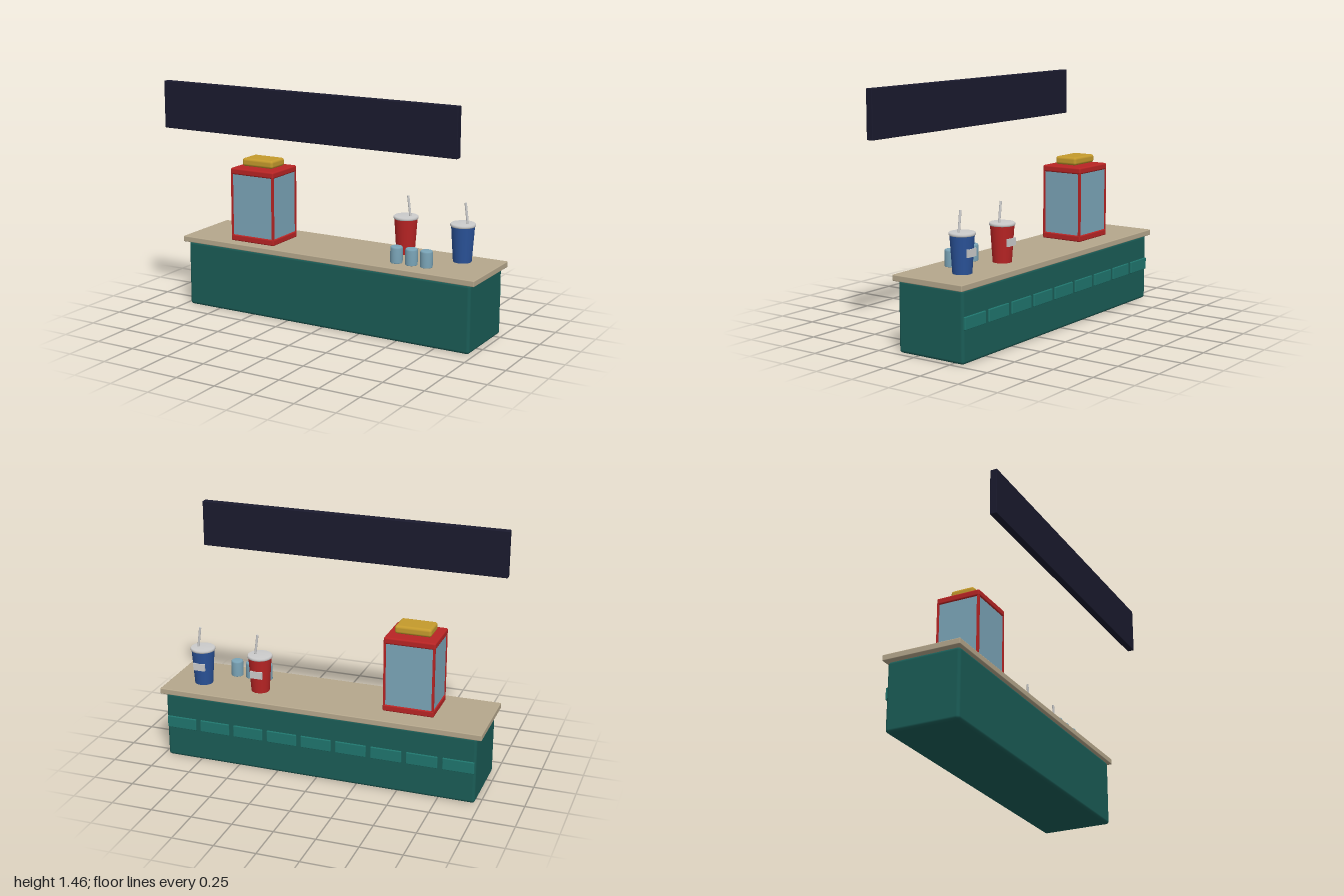
import * as THREE from 'three';
import { RoundedBoxGeometry } from 'three/addons/geometries/RoundedBoxGeometry.js';

const COLORS = {
  teal: 0x1a5c56, tile: 0x1f756d, stone: 0xb5a78c, navy: 0x1a1a2e, red: 0xb82424,
  glass: 0x7ba5b8, yellow: 0xc49a2c, blue: 0x2a5298, grey: 0xcccccc,
};
const mats = {};
for (const key in COLORS) mats[key] = new THREE.MeshStandardMaterial({ color: COLORS[key] });

function add(parent, name, geometry, mat, x = 0, y = 0, z = 0) {
  const mesh = new THREE.Mesh(geometry, mats[mat]);
  mesh.name = name;
  mesh.position.set(x, y, z);
  parent.add(mesh);
  return mesh;
}

// Rounded box given by its extents on each axis
function block(parent, name, mat, [x0, x1], [y0, y1], [z0, z1], r = 0.006) {
  const geo = new RoundedBoxGeometry(x1 - x0, y1 - y0, z1 - z0, 3, r);
  return add(parent, name, geo, mat, (x0 + x1) / 2, (y0 + y1) / 2, (z0 + z1) / 2);
}

function lathe(points) {
  return new THREE.LatheGeometry(points.map(([r, y]) => new THREE.Vector2(r, y)), 32);
}

// Tapered cup with lid, leaning straw and a label on its back
function drinkCup(name, mat, x, z) {
  const cup = new THREE.Group();
  cup.name = name;
  cup.position.set(x, 0.455, z);
  add(cup, 'cupBody', new THREE.CylinderGeometry(0.07, 0.055, 0.218, 32), mat, 0, 0.109, 0);
  add(cup, 'cupLid', lathe([[0, 0.212], [0.072, 0.212], [0.075, 0.216], [0.075, 0.224],
    [0.071, 0.23], [0, 0.23]]), 'grey');
  const straw = add(cup, 'straw', new THREE.CylinderGeometry(0.007, 0.007, 0.15, 12), 'grey', 0.023, 0.278, 0);
  straw.rotation.z = 0.13;
  add(cup, 'cupLabel', new THREE.BoxGeometry(0.075, 0.045, 0.01), 'grey', 0, 0.12, -0.063);
  return cup;
}

export function createModel() {
  const model = new THREE.Group();
  model.name = 'snackCounter';

  // Counter and worktop
  block(model, 'counterBody', 'teal', [-0.97, 0.97], [0, 0.412], [-0.318, 0.13], 0.018);
  block(model, 'worktop', 'stone', [-1, 1], [0.41, 0.446], [-0.335, 0.146], 0.005);

  // Row of tiles on the back of the counter
  for (let i = 0; i < 9; i++) {
    const x = (i - 4) * 0.217;
    block(model, 'backTile', 'tile', [x - 0.094, x + 0.094], [0.193, 0.265], [-0.328, -0.312], 0.004);
  }

  // Hanging sign board
  block(model, 'signBoard', 'navy', [-0.97, 0.97], [1.17, 1.455], [0.297, 0.34], 0.004);

  // Glass cabinet with red base, cap and corner posts
  const cabinet = new THREE.Group();
  cabinet.name = 'popcornCabinet';
  model.add(cabinet);
  const cx = -0.525, cz = -0.058, hx = 0.155, hz = 0.137;
  const xs = [cx - hx, cx + hx], zs = [cz - hz, cz + hz];
  block(cabinet, 'cabinetBase', 'red', xs, [0.445, 0.484], zs, 0.008);
  block(cabinet, 'cabinetCap', 'red', xs, [0.865, 0.905], zs, 0.01);
  block(cabinet, 'cabinetGlass', 'glass', [xs[0] + 0.007, xs[1] - 0.007], [0.47, 0.88], [zs[0] + 0.007, zs[1] - 0.007], 0.002);
  for (const sx of [-1, 1]) for (const sz of [-1, 1]) {
    add(cabinet, 'cornerPost', new THREE.BoxGeometry(0.013, 0.4, 0.013), 'red',
      cx + sx * (hx - 0.0085), 0.675, cz + sz * (hz - 0.0085));
  }
  block(cabinet, 'cabinetTopper', 'yellow', [-0.635, -0.415], [0.91, 0.96], [-0.131, 0.017], 0.016);

  // Drinks
  model.add(drinkCup('redDrink', 'red', 0.408, -0.171));
  model.add(drinkCup('blueDrink', 'blue', 0.781, -0.171));

  // Small tumblers
  for (const x of [0.445, 0.543, 0.64]) {
    add(model, 'tumbler', lathe([[0, 0], [0.034, 0], [0.037, 0.004], [0.037, 0.09],
      [0.035, 0.097], [0.031, 0.1], [0, 0.1]]), 'glass', x, 0.445, 0.017);
  }
  return model;
}
